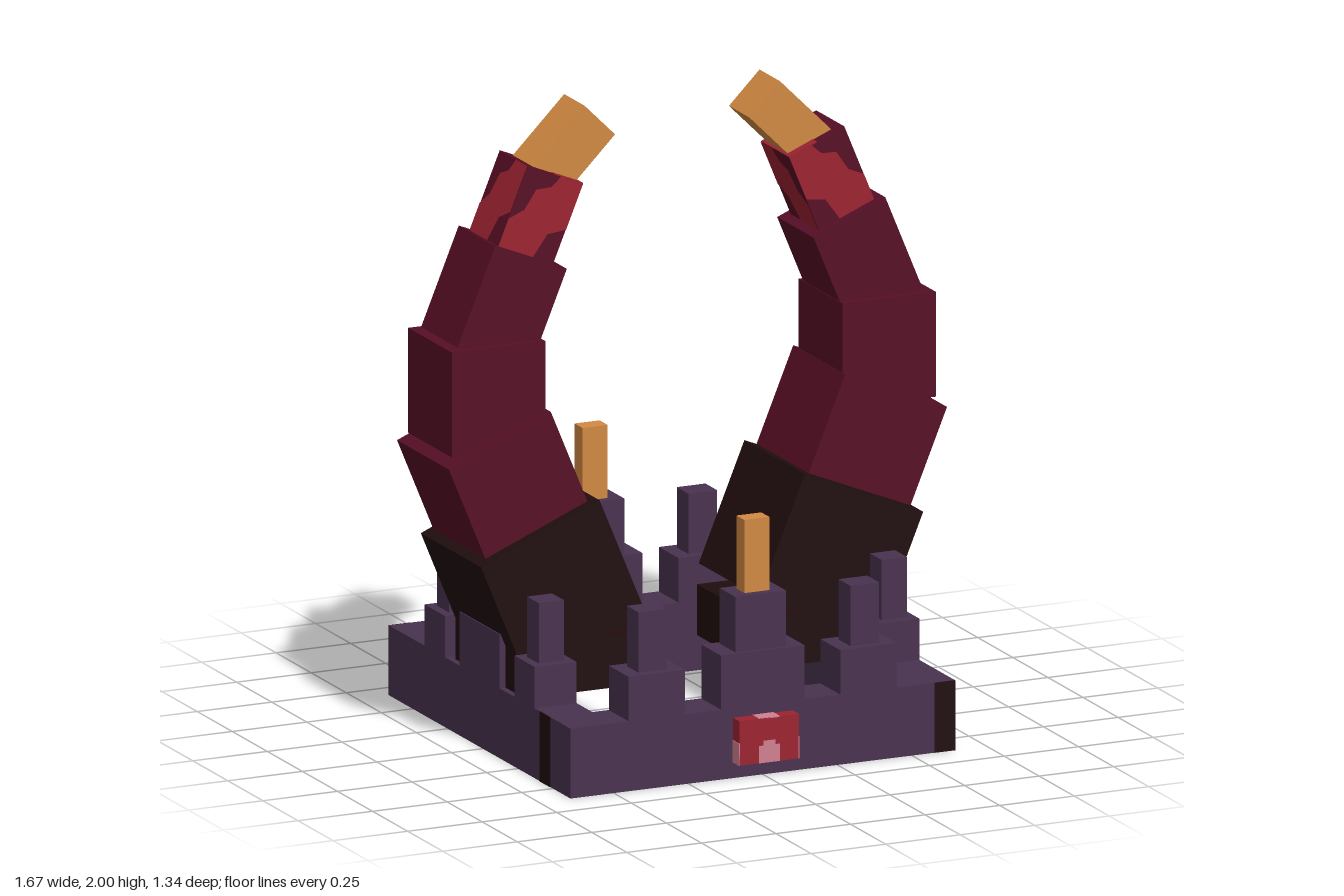
import * as THREE from 'three';

const mat = (name, color) => {
  const m = new THREE.MeshStandardMaterial({ color });
  m.name = name;
  return m;
};

export function createModel() {
  const purple = mat('purple stone', 0x49324f);
  const black = mat('charred black', 0x200d0d);
  const maroon = mat('maroon', 0x560e25);
  const red = mat('red', 0x9c2230);
  const gold = mat('gold', 0xd28942);
  const pink = mat('pink', 0xd08090);
  const CZ = -0.0225; // middle of the square wall

  const model = new THREE.Group();
  model.name = 'hornedCrown';

  const box = (parent, name, m, size, pos, rotZ = 0) => {
    const mesh = new THREE.Mesh(new THREE.BoxGeometry(...size), m);
    mesh.name = name;
    mesh.position.set(...pos);
    mesh.rotation.z = rotZ;
    parent.add(mesh);
    return mesh;
  };
  const polygon = (pts) => new THREE.Shape(pts.map(([x, y]) => new THREE.Vector2(x, y)));
  const rect = (w, h) => polygon([[-w, -h], [w, -h], [w, h], [-w, h]]);

  // Square wall, open in the middle
  const ring = rect(0.645, 0.6475);
  ring.holes.push(rect(0.505, 0.505));
  const ringGeo = new THREE.ExtrudeGeometry(ring, { depth: 0.22, bevelEnabled: false });
  ringGeo.rotateX(-Math.PI / 2);
  const wall = new THREE.Mesh(ringGeo, purple);
  wall.name = 'wall';
  wall.position.z = CZ;
  model.add(wall);

  // Battlements on front and back, with a gold-tipped middle tower
  for (const s of [1, -1]) {
    const z = CZ + s * 0.5765;
    box(model, 'towerBase', purple, [0.28, 0.17, 0.14], [0, 0.305, z]);
    box(model, 'towerTop', purple, [0.17, 0.175, 0.112], [0, 0.4775, z]);
    box(model, 'towerSpire', gold, [0.084, 0.23, 0.058], [0, 0.68, z]);
    for (const x of [-0.355, 0.355]) {
      box(model, 'merlonBase', purple, [0.19, 0.14, 0.14], [x, 0.29, z]);
      box(model, 'merlonTop', purple, [0.096, 0.19, 0.084], [x, 0.455, z]);
    }
    // Battlements on the two sides
    const x = s * 0.575;
    box(model, 'sideBlock', purple, [0.14, 0.17, 0.285], [x, 0.305, CZ]);
    for (const t of [1, -1]) {
      box(model, 'sideMerlonBase', purple, [0.14, 0.13, 0.145], [x, 0.285, CZ + t * 0.32]);
      box(model, 'sideMerlonTop', purple, [0.084, 0.19, 0.084], [x, 0.445, CZ + t * 0.32]);
    }
    // Charred strips, turned half round from one side to the other
    box(model, 'charredStrip', black, [0.07, 0.22, 0.004], [s * 0.61, 0.11, CZ + s * 0.6475]);
    box(model, 'charredStrip', black, [0.004, 0.22, 0.075], [s * 0.645, 0.11, CZ - s * 0.467]);
  }

  // Gate badge on the front
  box(model, 'badge', red, [0.2, 0.14, 0.045], [0, 0.12, 0.6475]);
  const arch = new THREE.Mesh(new THREE.ShapeGeometry(polygon([
    [-0.035, 0.05], [0.035, 0.05], [0.035, 0.105], [0.02, 0.105], [0.02, 0.12],
    [-0.02, 0.12], [-0.02, 0.105], [-0.035, 0.105]])), pink);
  arch.name = 'badgeArch';
  arch.position.z = 0.672;
  model.add(arch);
  box(model, 'badgeTopStripe', pink, [0.07, 0.004, 0.045], [0, 0.19, 0.6475]);
  for (const s of [1, -1]) {
    box(model, 'badgeSidePatch', pink, [0.004, 0.07, 0.045], [s * 0.1, 0.085, 0.6475]);
  }

  // Horns: [name, material, width = depth, length, x, y, tilt in degrees]
  const segments = [
    ['hornRoot', black, 0.43, 0.4, 0.466, 0.528, -22.5],
    ['hornLower', maroon, 0.37, 0.32, 0.603, 0.865, -22.5],
    ['hornMiddle', maroon, 0.313, 0.33, 0.655, 1.135, 0],
    ['hornUpper', maroon, 0.26, 0.33, 0.597, 1.408, 22.5],
    ['hornNeck', maroon, 0.2, 0.26, 0.488, 1.682, 22.5],
    ['hornTip', gold, 0.145, 0.244, 0.3625, 1.8625, 45],
  ];
  const blotch = [[-0.1, 0.13], [-0.1, -0.02], [-0.045, -0.05], [-0.025, -0.13], [0.1, -0.13],
    [0.1, -0.04], [0.06, 0], [0.045, 0.07], [0, 0.09], [-0.02, 0.13]];
  for (const s of [1, -1]) {
    const horn = new THREE.Group();
    horn.name = s > 0 ? 'leftHorn' : 'rightHorn';
    horn.position.z = CZ;
    model.add(horn);
    box(horn, 'hornFoot', black, [0.44, 0.16, 0.43], [s * 0.405, 0.28, 0]);
    for (const [name, m, w, len, x, y, deg] of segments) {
      const part = box(horn, name, m, [w, len, w], [s * x, y, 0], s * THREE.MathUtils.degToRad(deg));
      if (name !== 'hornNeck') continue;
      // Red blotches around the neck and on its top
      const geo = new THREE.ShapeGeometry(polygon(blotch.map(([u, v]) => [s * u, v])));
      geo.translate(0, 0, w / 2 + 0.002);
      for (let k = 0; k < 4; k++) {
        const patch = new THREE.Mesh(geo, red);
        patch.name = 'redBlotch';
        patch.rotation.y = k * Math.PI / 2;
        part.add(patch);
      }
      box(part, 'redTopBlotch', red, [0.1, 0.004, 0.2], [-s * 0.05, len / 2, 0]);
    }
  }
  return model;
}
